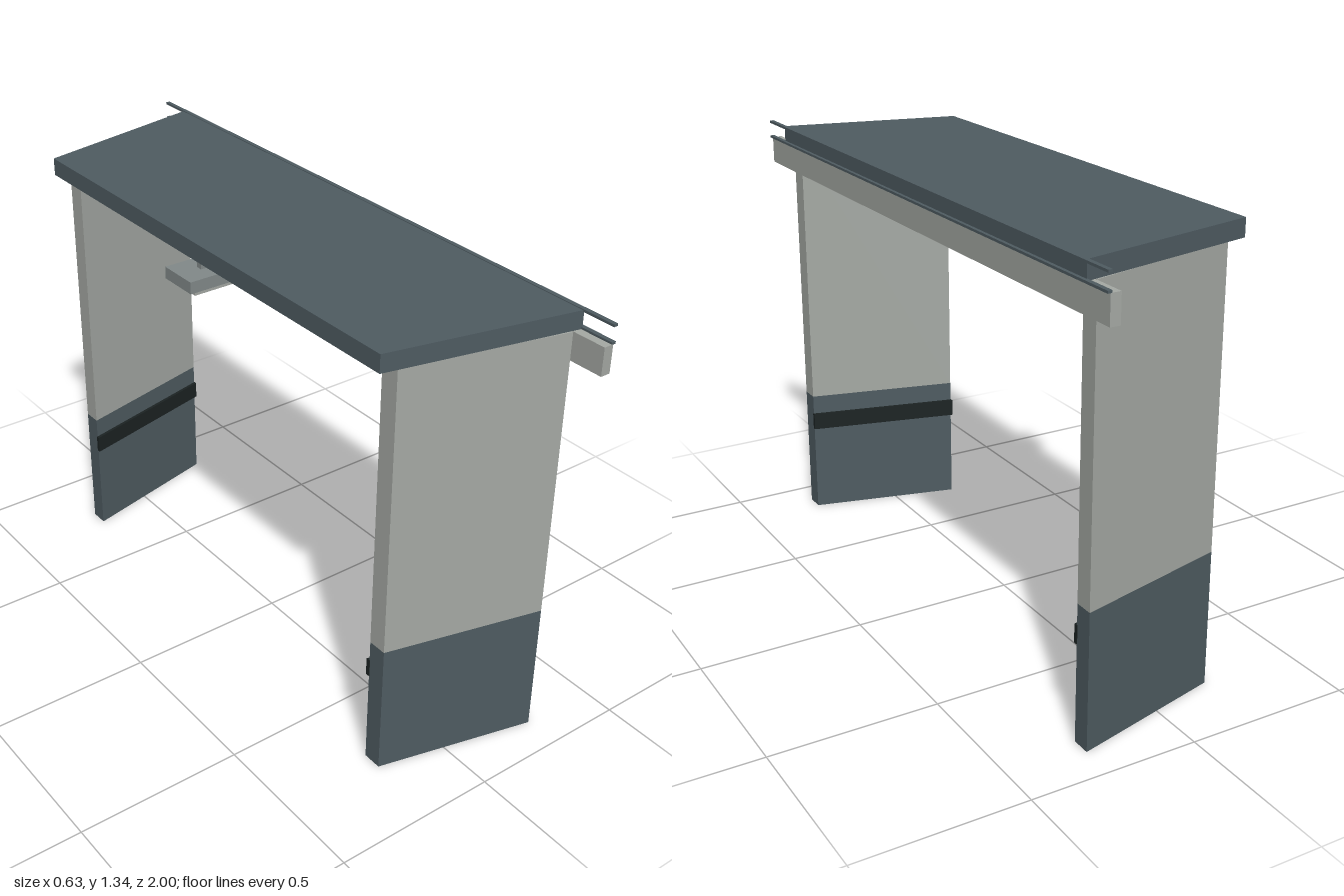
import * as THREE from 'three';

const flat = (name, color) => {
  const m = new THREE.MeshStandardMaterial({ color });
  m.name = name;
  return m;
};

// Upright prism from a plan outline of [x, z] points
function prism(points, y0, y1) {
  const shape = new THREE.Shape(points.map(([x, z]) => new THREE.Vector2(x, -z)));
  const geo = new THREE.ExtrudeGeometry(shape, { depth: y1 - y0, bevelEnabled: false });
  return geo.rotateX(-Math.PI / 2).translate(0, y0, 0);
}

// Box given by its extents
function block(x0, x1, y0, y1, z0, z1) {
  return new THREE.BoxGeometry(x1 - x0, y1 - y0, z1 - z0)
    .translate((x0 + x1) / 2, (y0 + y1) / 2, (z0 + z1) / 2);
}

export function createModel() {
  const light = flat('light grey panel', 0xa6aaa5);
  const slate = flat('slate', 0x4f5c62);
  const grey = flat('mid grey metal', 0x828a8a);
  const black = flat('black rubber', 0x1c2323);

  const model = new THREE.Group();
  model.name = 'canopy';
  const add = (name, geo, mat, parent = model) => {
    const mesh = new THREE.Mesh(geo, mat);
    mesh.name = name;
    parent.add(mesh);
  };

  const X0 = -0.2, X1 = 0.27, ROOF = 1.282;
  const inner = x => 0.722 + (x - X0) * 0.25;
  // Strip that follows the splayed wall, from offset a to b off its inner face
  const strip = (s, a, b, y0, y1, x0 = X0, x1 = X1) => prism([
    [x0, s * (inner(x0) + a)], [x1, s * (inner(x1) + a)],
    [x1, s * (inner(x1) + b)], [x0, s * (inner(x0) + b)],
  ], y0, y1);

  // Splayed side walls with a bumper rail and a top trim
  for (const s of [1, -1]) {
    const wall = new THREE.Group();
    wall.name = s > 0 ? 'frontWall' : 'backWall';
    model.add(wall);
    add('wallBase', strip(s, 0, 0.057, 0, 0.41), slate, wall);
    add('wallPanel', strip(s, 0, 0.057, 0.41, ROOF), light, wall);
    add('bumperRail', strip(s, -0.01, 0.002, 0.293, 0.348, X0 - 0.002, X1 + 0.002), black, wall);
    add('topTrim', strip(s, -0.025, 0, 1.245, ROOF), grey, wall);
  }

  // Roof slab, wider on the beam side
  add('roof', prism([[-0.255, -0.777], [0.3, -0.898], [0.3, 0.898], [-0.255, 0.777]], ROOF, 1.335), slate);

  // Long beam with two thin flanges along the roof edge
  add('beam', block(0.272, 0.302, 1.2, ROOF, -1, 1), light);
  add('lowerFlange', block(0.297, 0.31, 1.281, 1.288, -1, 1), slate);
  add('upperFlange', block(0.297, 0.31, 1.33, 1.337, -1, 1), slate);

  // Lamp hung under the middle of the roof
  const lamp = new THREE.Group();
  lamp.name = 'hangingLamp';
  model.add(lamp);
  add('lampBody', block(-0.316, 0.17, 1.225, 1.26, -0.062, 0.062), grey, lamp);
  add('lampCover', block(-0.295, 0.15, 1.21, 1.225, -0.05, 0.05), light, lamp);
  for (const x of [-0.238, 0.1]) {
    add('lampHanger', block(x - 0.009, x + 0.009, 1.26, ROOF, -0.01, 0.01), grey, lamp);
  }

  return model;
}
